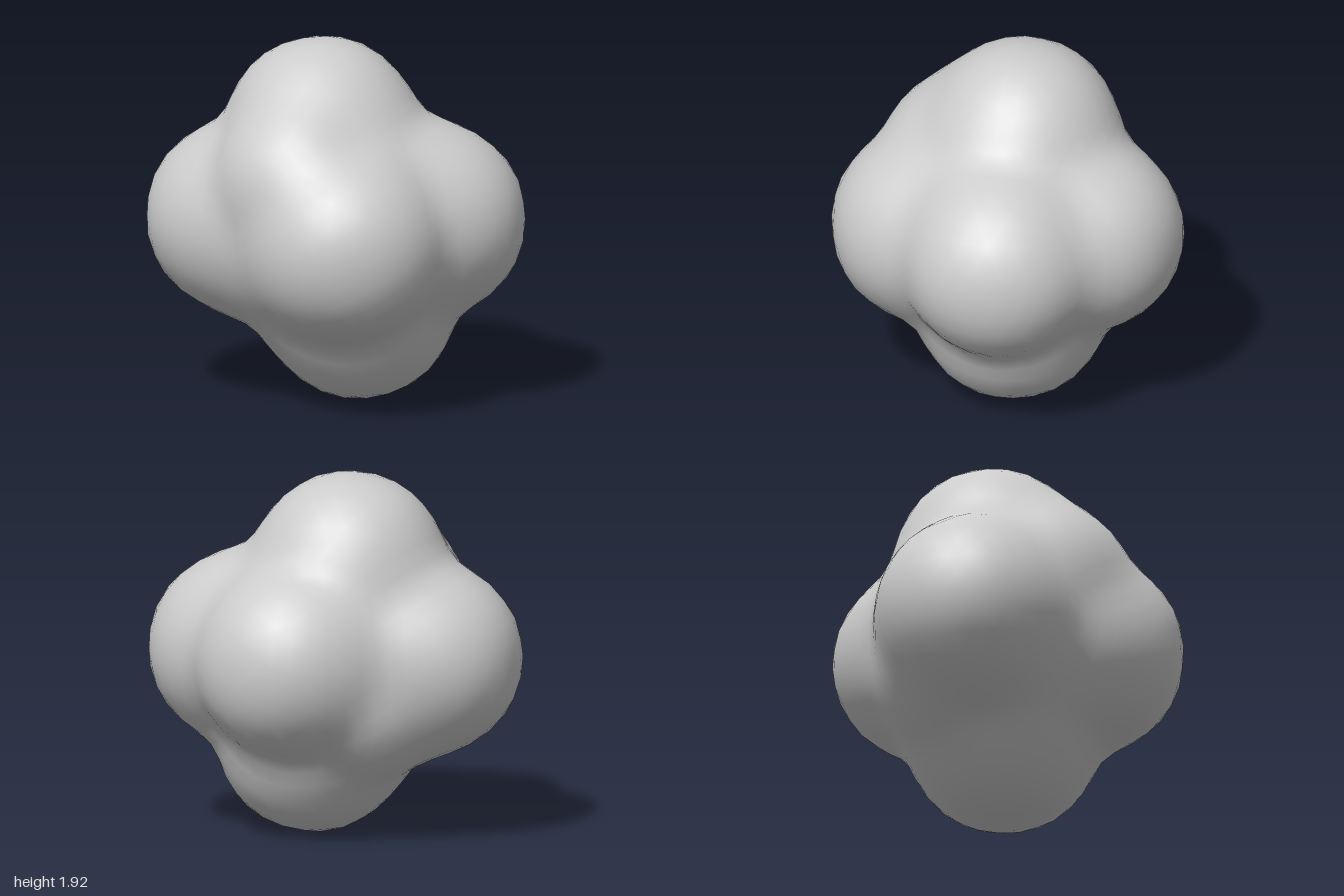
import * as THREE from 'three';
import { mergeVertices } from 'three/addons/utils/BufferGeometryUtils.js';

const CORE = 0.69; // radius of the core between the lobes
const CENTRE_HEIGHT = 0.95;

// A round-topped swelling: direction, height above the core, angular width in degrees
const bump = (x, y, z, height, width) => ({
  dir: new THREE.Vector3(x, y, z).normalize(),
  height,
  width: THREE.MathUtils.degToRad(width),
});

const bumps = [
  // Six big lobes, one leaning off each axis
  bump(-0.16, 0.95, -0.09, 0.28, 39), // top
  bump(0.26, -0.95, -0.06, 0.285, 39), // bottom
  bump(1, 0.01, -0.08, 0.312, 39), // left
  bump(-1, -0.01, -0.08, 0.312, 39), // right
  bump(0.25, -0.08, 0.95, 0.262, 40), // front
  bump(0.27, 0.02, -0.95, 0.262, 39), // back
  // Low bridges where lobes run together
  bump(-0.4, 0.7, 0.7, 0.16, 33),
  bump(-1, -1, -1, 0.1, 30),
];

// The swellings blend by a cubic norm, so neighbours merge without piling up
function radius(dir) {
  let sum = 0;
  for (const b of bumps) {
    const h = b.height * Math.exp(-Math.pow(dir.angleTo(b.dir) / b.width, 2.6));
    sum += h ** 3;
  }
  return CORE + Math.cbrt(sum);
}

export function createModel() {
  const group = new THREE.Group();
  group.name = 'lumpyBlob';

  // Shared vertices give a seamless smooth surface
  let geometry = new THREE.IcosahedronGeometry(1, 9);
  geometry.deleteAttribute('normal');
  geometry.deleteAttribute('uv');
  geometry = mergeVertices(geometry, 1e-4);

  // Push every point out along its own direction
  const pos = geometry.attributes.position;
  const v = new THREE.Vector3();
  for (let i = 0; i < pos.count; i++) {
    v.fromBufferAttribute(pos, i).normalize();
    v.multiplyScalar(radius(v));
    pos.setXYZ(i, v.x, v.y + CENTRE_HEIGHT, v.z);
  }
  geometry.computeVertexNormals();

  const blob = new THREE.Mesh(geometry, new THREE.MeshStandardMaterial({ color: 0xcccccc }));
  blob.name = 'blobBody';
  group.add(blob);
  return group;
}
